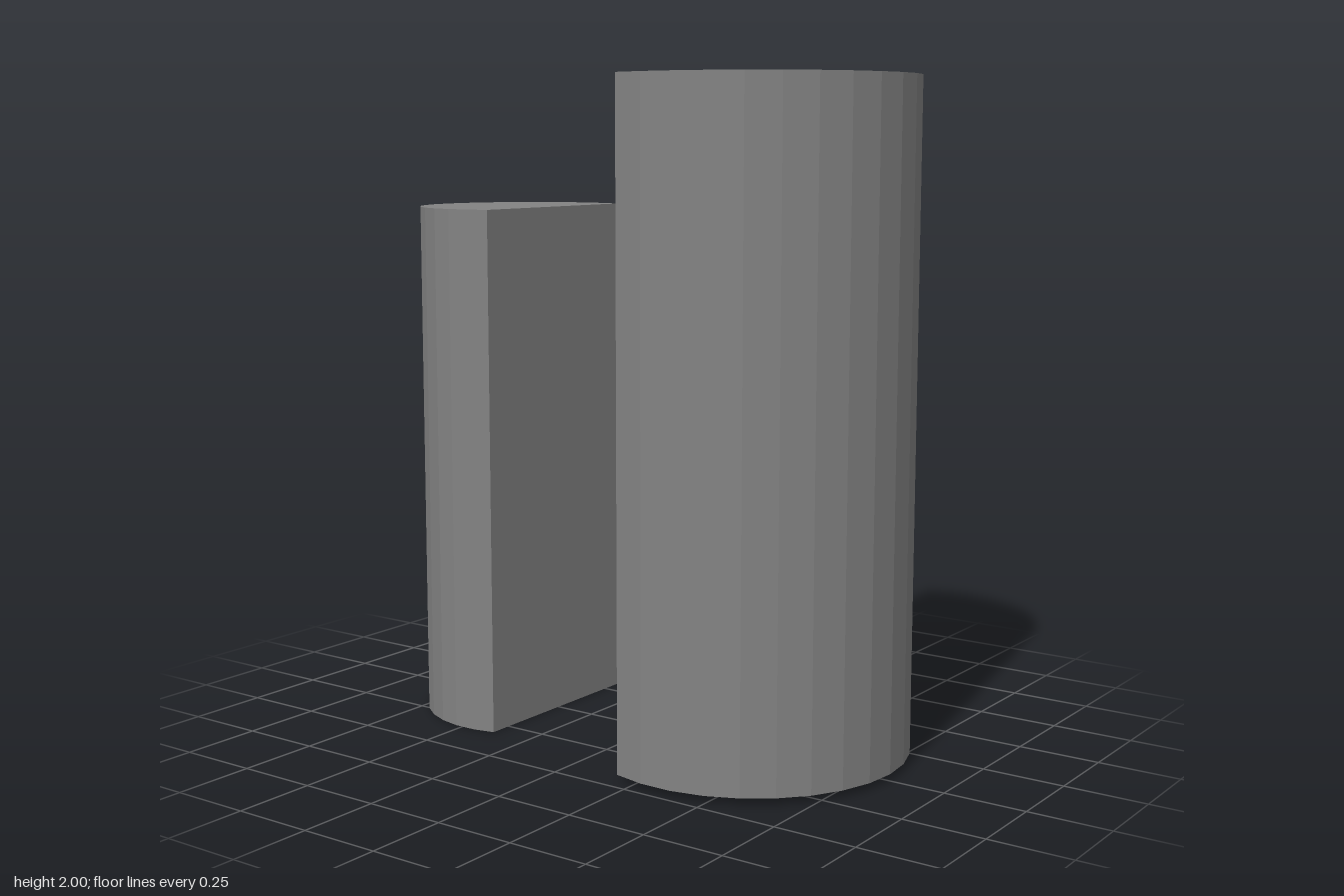
import * as THREE from 'three';

// Column cut off by a flat face: 18 facets of a 30-sided prism.
// dir is the z direction its rounded side faces.
function cutColumn(name, radius, centerZ, dir, bottom, top) {
  const points = [];
  for (let i = -9; i <= 9; i++) {
    const a = THREE.MathUtils.degToRad(i * 12);
    points.push(new THREE.Vector2(radius * Math.sin(a), -dir * radius * Math.cos(a)));
  }
  const geometry = new THREE.ExtrudeGeometry(new THREE.Shape(points), {
    depth: top - bottom,
    bevelEnabled: false,
  });
  geometry.rotateX(-Math.PI / 2);
  const material = new THREE.MeshStandardMaterial({ color: 0x838383, flatShading: true });
  const mesh = new THREE.Mesh(geometry, material);
  mesh.name = name;
  mesh.position.set(0, bottom, centerZ);
  return mesh;
}

export function createModel() {
  const group = new THREE.Group();
  group.name = 'cutColumns';
  group.add(
    cutColumn('frontColumn', 0.483, 0.345, 1, 0.02, 2),
    cutColumn('backColumn', 0.339, -0.489, -1, 0, 1.61),
  );
  return group;
}
